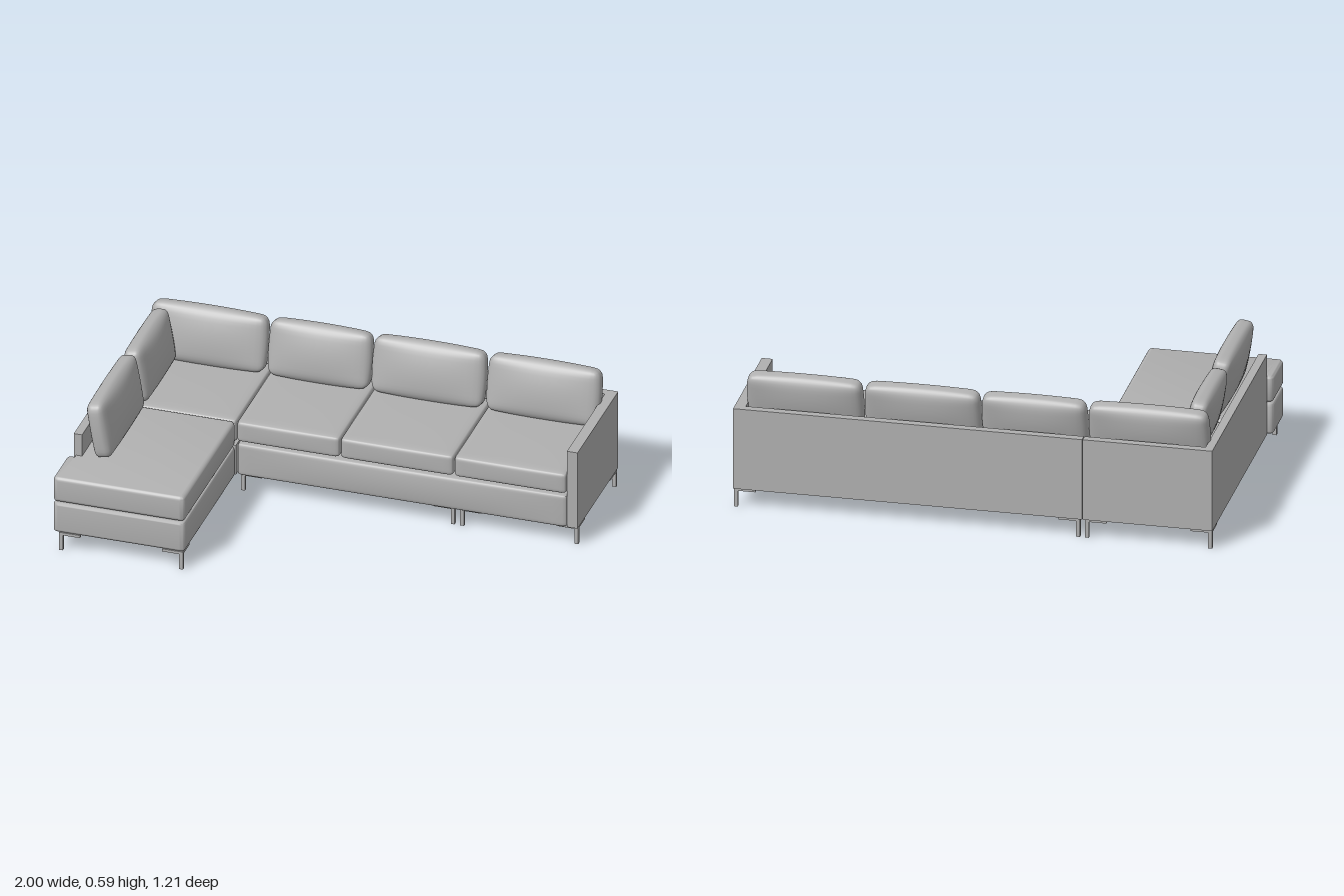
import * as THREE from 'three';
import { mergeVertices, toCreasedNormals } from 'three/addons/utils/BufferGeometryUtils.js';

const fabric = new THREE.MeshStandardMaterial({ color: 0xb0b0b0 });
fabric.name = 'grey fabric';

// Rounded block with pillow faces: edges sink by bulge[axis], face centres keep the full size.
function pillow(size, radius, bulge, segments = 16) {
  const half = size.map((s) => s / 2);
  let geo = new THREE.BoxGeometry(2, 2, 2, segments, segments, segments);
  geo.deleteAttribute('uv');
  geo.deleteAttribute('normal');
  geo = mergeVertices(geo);
  const pos = geo.attributes.position;
  const v = new THREE.Vector3();
  const inner = new THREE.Vector3();
  for (let i = 0; i < pos.count; i++) {
    // crowd the grid towards the edges
    const u = [pos.getX(i), pos.getY(i), pos.getZ(i)]
      .map((t) => Math.sign(t) * (1 - Math.pow(1 - Math.abs(t), 1.8)));
    v.set(...u.map((t, a) => t * half[a]));
    inner.set(...u.map((t, a) => THREE.MathUtils.clamp(t * half[a], radius - half[a], half[a] - radius)));
    v.sub(inner).setLength(radius).add(inner);
    const n = v.toArray().map((t, a) => t / half[a]);
    const p = n.map((t, a) => {
      const b = n[(a + 1) % 3], c = n[(a + 2) % 3];
      return t * (half[a] - bulge[a] * (1 - (1 - b * b) * (1 - c * c)));
    });
    pos.setXYZ(i, ...p);
  }
  geo.computeVertexNormals();
  return geo;
}

// Floor-plan polygon [x, z] with rounded corners, raised from y0 to y1 with soft edges
function softSlab(points, y0, y1, bevel) {
  const pts = points.map(([x, z]) => new THREE.Vector2(x, -z));
  const shape = new THREE.Shape();
  pts.forEach((p, i) => {
    const before = pts[(i + pts.length - 1) % pts.length];
    const after = pts[(i + 1) % pts.length];
    const a = p.clone().add(before.clone().sub(p).setLength(0.022));
    const b = p.clone().add(after.clone().sub(p).setLength(0.022));
    if (i === 0) shape.moveTo(a.x, a.y);
    else shape.lineTo(a.x, a.y);
    shape.quadraticCurveTo(p.x, p.y, b.x, b.y);
  });
  shape.closePath();
  const geo = new THREE.ExtrudeGeometry(shape, {
    depth: y1 - y0 - 2 * bevel, bevelEnabled: true, bevelThickness: bevel,
    bevelSize: bevel, bevelOffset: -bevel, bevelSegments: 5, curveSegments: 5,
  });
  geo.rotateX(-Math.PI / 2).translate(0, y0 + bevel, 0);
  return toCreasedNormals(geo, 0.7);
}

export function createModel() {
  const sofa = new THREE.Group();
  sofa.name = 'cornerSofa';

  const add = (name, geo, x = 0, y = 0, z = 0) => {
    const mesh = new THREE.Mesh(geo, fabric);
    mesh.name = name;
    mesh.position.set(x, y, z);
    sofa.add(mesh);
    return mesh;
  };
  // Place geometry by its minimum and maximum on each axis
  const box = (name, [x0, x1], [y0, y1], [z0, z1]) =>
    add(name, new THREE.BoxGeometry(x1 - x0, y1 - y0, z1 - z0), (x0 + x1) / 2, (y0 + y1) / 2, (z0 + z1) / 2);
  const soft = (name, [x0, x1], [y0, y1], [z0, z1], r, bulge) =>
    add(name, pillow([x1 - x0, y1 - y0, z1 - z0], r, bulge), (x0 + x1) / 2, (y0 + y1) / 2, (z0 + z1) / 2);

  // Back panels and arms
  const shell = [0.08, 0.43];
  box('cornerBackPanel', [-0.975, -0.441], shell, [-0.605, -0.57]);
  box('mainBackPanel', [-0.438, 1], shell, [-0.605, -0.57]);
  box('leftArm', [0.955, 1], shell, [-0.57, -0.078]);
  box('rightArm', [-0.975, -0.94], shell, [-0.57, 0.4]);

  // Bases
  soft('mainBase', [-0.438, 0.955], [0.08, 0.226], [-0.57, -0.06], 0.014, [0, 0, 0.008]);
  box('cornerBase', [-0.94, -0.443], [0.08, 0.215], [-0.57, -0.07]);
  const chaisePlan = [[-0.443, -0.068], [-0.94, -0.068], [-0.94, 0.403], [-1, 0.403], [-1, 0.6], [-0.443, 0.6]];
  add('chaiseBase', softSlab(chaisePlan, 0.08, 0.214, 0.012));

  // Seat cushions
  add('chaiseCushion', softSlab(chaisePlan, 0.218, 0.332, 0.018));
  const seats = [[-0.94, -0.443], [-0.439, -0.004], [0, 0.477], [0.481, 0.955]];
  seats.forEach((span, i) => {
    soft('seatCushion' + (i + 1), span, [i ? 0.23 : 0.218, 0.335], [-0.57, i ? -0.06 : -0.07], 0.018, [0, 0.006, 0.003]);
  });

  // Leaning back cushions along the rear
  const backs = [[-0.945, -0.447], [-0.443, -0.006], [-0.004, 0.476], [0.482, 0.962]];
  backs.forEach((span, i) => {
    const c = soft('backCushion' + (i + 1), span, [0.322, 0.572], [-0.559, -0.449], 0.035, [0.008, 0.008, 0.018]);
    c.rotation.x = -0.22;
  });

  // Leaning back cushions along the right side
  [[-0.472, -0.062, 0.578], [-0.058, 0.42, 0.588]].forEach(([z0, z1, top], i) => {
    const c = soft('sideCushion' + (i + 1), [-0.925, -0.815], [0.327, top], [z0, z1], 0.035, [0.018, 0.008, 0.008]);
    c.rotation.z = 0.17;
  });

  // Legs: a post with two bracket arms pointing inwards (dx, dz)
  const legs = [
    [-0.965, 0.59, 1, -1], [-0.457, 0.59, -1, -1],
    [-0.965, -0.59, 1, 1], [-0.457, -0.59, -1, 1],
    [-0.42, -0.59, 1, 1], [0.99, -0.59, -1, 1],
    [-0.42, -0.1, 1, -1], [0.467, -0.1, -1, -1],
    [0.507, -0.1, 1, -1], [0.99, -0.1, -1, -1],
  ];
  const post = new THREE.BoxGeometry(0.016, 0.08, 0.016);
  const armX = new THREE.BoxGeometry(0.085, 0.012, 0.016);
  const armZ = new THREE.BoxGeometry(0.016, 0.012, 0.085);
  for (const [x, z, dx, dz] of legs) {
    add('legPost', post, x, 0.04, z);
    add('legBracket', armX, x + dx * 0.038, 0.075, z);
    add('legBracket', armZ, x, 0.075, z + dz * 0.038);
  }

  return sofa;
}
